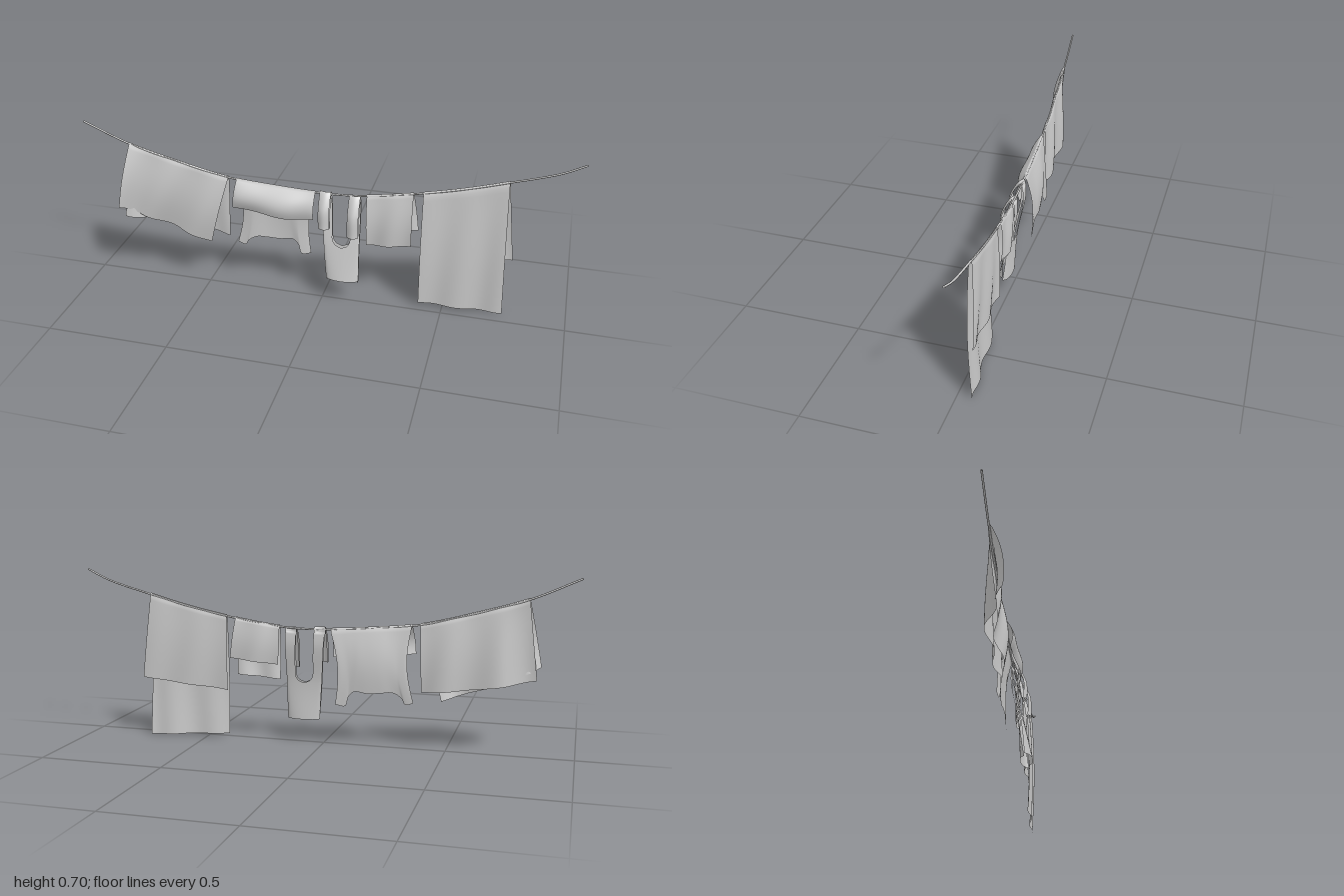
import * as THREE from 'three';

const V = (p) => new THREE.Vector3(...p);
const curve = (pts) => new THREE.CatmullRomCurve3(pts.map(V), false, 'centripetal');
const lerp = THREE.MathUtils.lerp;
const clamp = THREE.MathUtils.clamp;

const ropeZ = (x) => -0.027 - 0.048 * x;
const ropeCurve = curve([
  [-1, 0.7], [-0.81, 0.617], [-0.6, 0.555], [-0.4, 0.507], [-0.2, 0.486], [0, 0.475], [0.16, 0.48],
  [0.36, 0.51], [0.55, 0.55], [0.725, 0.598], [0.91, 0.654], [1, 0.697],
].map(([x, y]) => [x, y, ropeZ(x)]));

// Point on the rope at a given x
function ropeAt(x) {
  let a = 0, b = 1;
  for (let i = 0; i < 25; i++) {
    const m = (a + b) / 2;
    if (ropeCurve.getPoint(m).x < x) a = m; else b = m;
  }
  return ropeCurve.getPoint(a);
}

const cloth = new THREE.MeshStandardMaterial({ color: 0xcccccc, side: THREE.DoubleSide });

// Smooth open surface from a rule (u across, v along) -> [x, y, z]
function sheet(name, nu, nv, rule) {
  const geo = new THREE.PlaneGeometry(1, 1, nu, nv);
  const pos = geo.attributes.position;
  for (let j = 0, k = 0; j <= nv; j++) {
    for (let i = 0; i <= nu; i++, k++) pos.setXYZ(k, ...rule(i / nu, j / nv));
  }
  geo.computeVertexNormals();
  const mesh = new THREE.Mesh(geo, cloth);
  mesh.name = name;
  return mesh;
}

// Cloth hung over the rope: front hem, over the top, back hem, with soft folds
function drape(name, o) {
  const hems = [curve(o.front), curve(o.back)];
  const { fold = 0.008, waves = 2.5, phase = 0, bulge = [0.012, 0.008], pinch = 0, layer = 0 } = o;
  return sheet(name, 48, 64, (u, v) => {
    const s = v * 2 - 1;
    const t = Math.abs(s), side = s < 0 ? 1 : -1;
    const top = ropeAt(lerp(o.x[0], o.x[1], u));
    const hem = hems[s < 0 ? 0 : 1].getPoint(u);
    const p = top.clone().lerp(hem, t);
    const wrap = Math.min(1, Math.sqrt(t * 30));
    const arch = Math.sin(Math.PI * t);
    p.y += 0.007 * (1 - wrap);
    p.z += side * (0.006 * wrap * (1 - t) + bulge[s < 0 ? 0 : 1] * arch);
    p.z += fold * Math.sqrt(t) * Math.sin(u * waves * 2 * Math.PI + phase + 1.6 * t * side);
    // Second layer of a garment, joined at the sides
    p.z += layer * side * Math.sqrt(Math.sin(Math.PI * clamp(u, 0, 1)) + 1e-6) * arch;
    if (s > 0) p.x += pinch * arch * (1 - 2 * u);
    return [p.x, p.y, p.z];
  });
}

function wideTowel() {
  return drape('wideTowel', {
    x: [-0.81, -0.395],
    front: [[-0.86, 0.345, 0.07], [-0.75, 0.295, 0.025], [-0.62, 0.25, 0.015], [-0.48, 0.2, 0.015]],
    back: [[-0.845, 0.295, 0.05], [-0.72, 0.275, -0.005], [-0.55, 0.25, -0.015], [-0.4, 0.235, -0.015]],
    fold: 0.011, waves: 2.2, phase: 1.4, bulge: [0.014, 0.006],
  });
}

// Sleeveless shirt folded over the rope, its straps and neckline hanging down
function shirt() {
  const group = new THREE.Group();
  group.name = 'shirt';
  const zBack = (x) => -0.05 - 0.07 * (x + 0.06);
  const neckline = [
    [-0.375, 0.195], [-0.342, 0.187], [-0.325, 0.212], [-0.29, 0.232], [-0.25, 0.23],
    [-0.19, 0.226], [-0.14, 0.232], [-0.115, 0.212], [-0.1, 0.17], [-0.06, 0.175],
  ].map(([x, y]) => [x, y, zBack(x)]);
  for (const [name, layer, gap] of [['shirtOuterLayer', 0.009, 0.005], ['shirtInnerLayer', -0.004, -0.004]]) {
    group.add(drape(name, {
      x: [-0.362, -0.035],
      front: [[-0.375, 0.385, 0.014], [-0.26, 0.375, 0.018 + gap], [-0.14, 0.36, 0.012 + gap], [-0.04, 0.36, 0.0]],
      back: neckline,
      fold: 0.005, waves: 1.6, phase: 0.6, bulge: [0.016, 0.008], pinch: 0.022, layer,
    }));
  }
  return group;
}

// Small vest hanging by its two straps, with a round neck and an open hem
function vest() {
  const group = new THREE.Group();
  group.name = 'vest';
  const paths = {
    Outer: curve([[0, 0.335, 0.014], [0, 0.42, 0.012], [0, 0.486, -0.028], [0, 0.42, -0.04],
      [0, 0.25, -0.016], [0, 0.095, -0.014]]),
    Inner: curve([[0, 0.335, 0.006], [0, 0.42, -0.008], [0, 0.48, -0.03], [0, 0.42, -0.03],
      [0, 0.25, 0.006], [0, 0.107, 0.036]]),
  };
  for (const [layer, path] of Object.entries(paths)) {
    const twin = paths[layer === 'Outer' ? 'Inner' : 'Outer'];
    for (const side of [-1, 1]) {
      group.add(sheet(`vest${layer}${side < 0 ? 'Right' : 'Left'}Half`, 10, 90, (u, v) => {
        const p = path.getPoint(v), q = twin.getPoint(v);
        const body = v > 0.5;
        const down = body ? clamp((0.48 - p.y) / 0.38, 0, 1) : 0;
        const center = lerp(0.068, 0.088, down);
        const half = lerp(0.083, 0.068, down);
        // Inner edge follows the neck opening
        const drop = body ? clamp((0.29 - p.y) / 0.04, 0, 1) : 0;
        const inner = 0.037 * Math.sqrt(1 - drop * drop);
        const w = lerp(inner, half, u);
        const round = Math.sqrt(Math.max(0, 1 - (w / half) ** 2));
        const mid = (p.z + q.z) / 2;
        const z = lerp(mid, p.z, body ? lerp(1, round, down) : 1);
        const cup = body ? 0 : 0.012 * Math.sin(Math.PI * u) * (1 - v);
        const low = !body && side > 0 ? -0.025 * (1 - 2 * v) : 0;
        return [center + side * w, p.y + low, z + cup];
      }));
    }
  }
  return group;
}

function smallTowel() {
  return drape('smallTowel', {
    x: [0.175, 0.36],
    front: [[0.178, 0.262, -0.022], [0.27, 0.268, -0.025], [0.36, 0.275, -0.03]],
    back: [[0.18, 0.325, -0.048], [0.28, 0.335, -0.055], [0.385, 0.345, -0.055]],
    fold: 0.006, waves: 1.4, phase: 2, bulge: [0.01, 0.006],
  });
}

function longTowel() {
  return drape('longTowel', {
    x: [0.398, 0.725],
    front: [[0.402, 0.018, -0.03], [0.52, 0.012, -0.036], [0.64, 0.005, -0.05], [0.745, 0, -0.062]],
    back: [[0.396, 0.21, -0.052], [0.52, 0.222, -0.058], [0.65, 0.235, -0.066], [0.765, 0.25, -0.07]],
    fold: 0.006, waves: 2, phase: 0.8, bulge: [0.01, 0.005],
  });
}

export function createModel() {
  const model = new THREE.Group();
  model.name = 'clothesline';
  const rope = new THREE.Mesh(
    new THREE.TubeGeometry(ropeCurve, 80, 0.004, 8),
    new THREE.MeshStandardMaterial({ color: 0xcccccc, side: THREE.DoubleSide }),
  );
  rope.name = 'rope';
  model.add(rope, wideTowel(), shirt(), vest(), smallTowel(), longTowel());
  return model;
}
